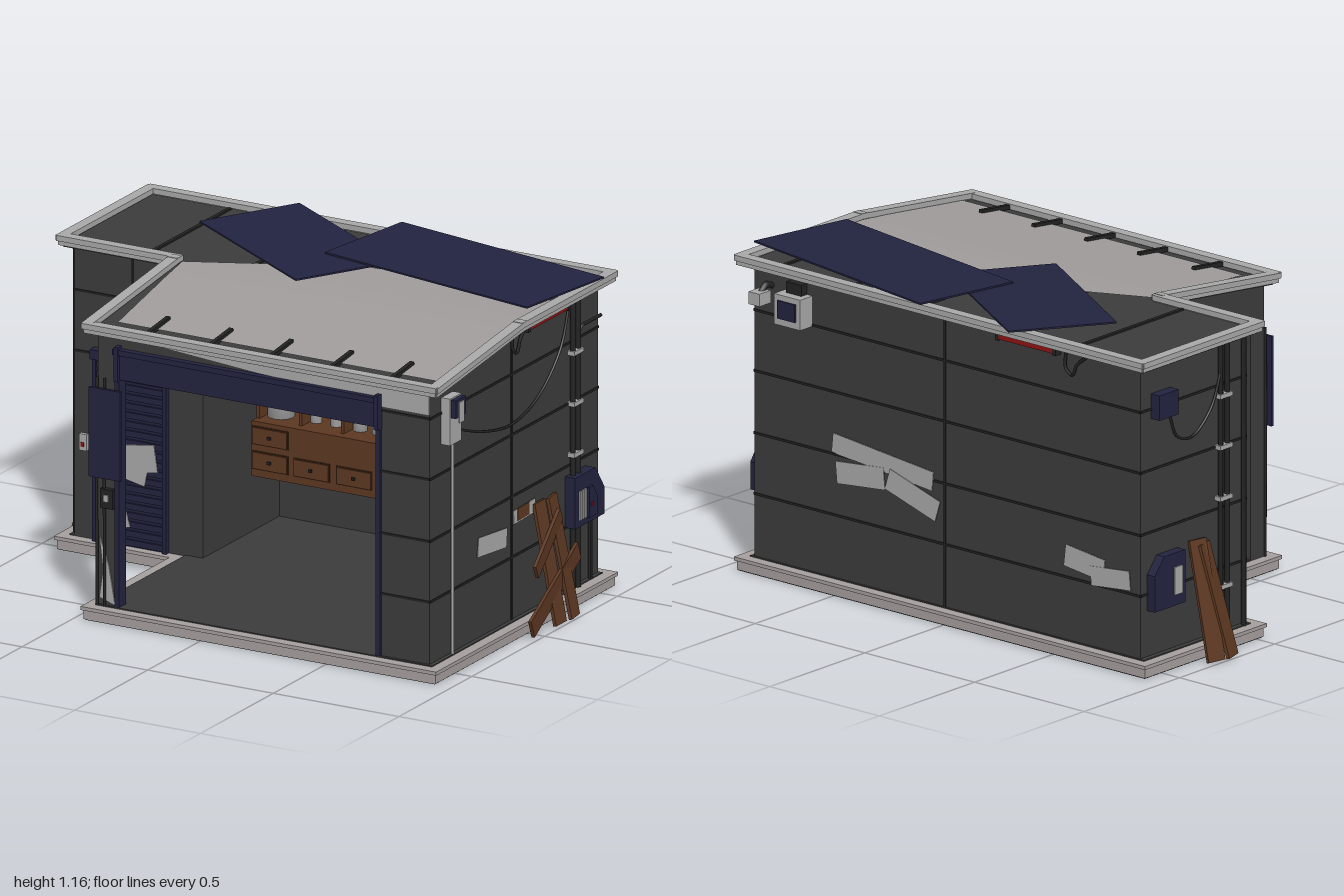
import * as THREE from 'three';

const mat = (name, color, side = THREE.FrontSide) => {
  const m = new THREE.MeshStandardMaterial({ color, side });
  m.name = name;
  return m;
};

export function createModel() {
  const root = new THREE.Group();
  root.name = 'shop';
  const wall = mat('charcoal wall', 0x3b3b3b), seam = mat('black seam', 0x222222);
  const navy = mat('navy', 0x22233f), light = mat('light grey', 0xa8a8a8);
  const stone = mat('warm grey', 0xa59e9d), sheetMat = mat('roof sheet grey', 0xa09b9b, THREE.DoubleSide);
  const wood = mat('brown wood', 0x5c3721), darkWood = mat('dark wood', 0x3c2415), red = mat('red', 0x8f1212);

  // ---- helpers ----
  const put = (name, geo, m, parent = root) => {
    const mesh = new THREE.Mesh(geo, m);
    mesh.name = name;
    parent.add(mesh);
    return mesh;
  };
  const box = (name, m, x0, x1, y0, y1, z0, z1, parent) => {
    const b = put(name, new THREE.BoxGeometry(x1 - x0, y1 - y0, z1 - z0), m, parent);
    b.position.set((x0 + x1) / 2, (y0 + y1) / 2, (z0 + z1) / 2);
    return b;
  };
  const beam = (name, m, a, b, w, h, extra = 0) => {
    const p = new THREE.Vector3(...a), q = new THREE.Vector3(...b);
    const mesh = put(name, new THREE.BoxGeometry(w, h, p.distanceTo(q) + extra), m);
    mesh.position.copy(p).lerp(q, 0.5);
    mesh.lookAt(q);
    return mesh;
  };
  const shapeOf = pts => new THREE.Shape(pts.map(p => new THREE.Vector2(...p)));
  const extrude = (name, m, pts, depth, parent) =>
    put(name, new THREE.ExtrudeGeometry(shapeOf(pts), { depth, bevelEnabled: false }), m, parent);
  // profile of [z, y] points swept from x0 to x1
  const sweepX = (name, m, pts, x0, x1) => {
    const mesh = extrude(name, m, pts.map(([z, y]) => [-z, y]), x1 - x0);
    mesh.rotation.y = Math.PI / 2;
    mesh.position.x = x0;
  };
  const tube = (name, m, pts, r, parent) => put(name, new THREE.TubeGeometry(
    new THREE.CatmullRomCurve3(pts.map(p => new THREE.Vector3(...p))), 24, r, 6), m, parent);
  // wall faces: local x runs along the wall, local z points outward
  const face = (name, x, z, turn) => {
    const g = new THREE.Group();
    g.name = name;
    g.position.set(x, 0, z);
    g.rotation.y = turn;
    root.add(g);
    return g;
  };
  const front = face('frontDetails', 0, 0.6, 0), wing = face('wingDetails', 0, 0, 0);
  const right = face('rightSideDetails', 0.89, 0, Math.PI / 2);
  const left = face('leftSideDetails', -0.87, 0, -Math.PI / 2);
  const back = face('backDetails', 0, -0.555, Math.PI);
  const paper = (parent, x, y, w, h, turn, m = light, z = 0.006) => {
    const p = put('paper', new THREE.BoxGeometry(w, h, 0.003), m, parent);
    p.position.set(x, y, z);
    p.rotation.z = turn;
  };
  const seams = (parent, x0, x1, verticals, rows = [0.28, 0.5, 0.725, 0.945], top = 1.1) => {
    for (const y of rows) box('seam', seam, x0, x1, y - 0.004, y + 0.004, 0, 0.004, parent);
    for (const x of verticals) box('seam', seam, x - 0.004, x + 0.004, 0.05, top, 0, 0.004, parent);
  };

  // ---- L-shaped base ----
  const slab = (name, m, inset, y0, y1) => {
    const i = inset, l = [[-0.93 + i, 0.6 - i], [-0.93 + i, -0.04 + i], [-0.47 + i, -0.04 + i],
      [-0.47 + i, -0.65 + i], [0.945 - i, -0.65 + i], [0.945 - i, 0.6 - i]];
    const s = extrude(name, m, l, y1 - y0);
    s.rotation.x = -Math.PI / 2;
    s.position.y = y0;
  };
  slab('baseUnderside', seam, 0.012, 0, 0.004);
  slab('base', stone, 0.008, 0.003, 0.037);
  slab('baseLip', stone, 0, 0.037, 0.05);
  slab('floor', wall, 0.04, 0.05, 0.054);

  // ---- walls ----
  sweepX('rightWall', wall, [[-0.555, 0.05], [0.6, 0.05], [0.6, 1.045], [0.04, 1.11], [-0.555, 1.11]], 0.86, 0.89);
  box('backWall', wall, -0.87, 0.89, 0.05, 1.11, -0.555, -0.525);
  box('leftWall', wall, -0.87, -0.84, 0.05, 1.11, -0.555, 0);
  box('wingFrontWall', wall, -0.87, -0.36, 0.05, 1.11, -0.03, 0);
  box('innerWall', wall, -0.4, -0.36, 0.05, 1.11, -0.53, -0.01);
  box('rightPier', wall, 0.69, 0.89, 0.05, 1.045, 0.56, 0.6);
  box('cornerPost', wall, -0.43, -0.36, 0.05, 1.045, 0.53, 0.6);
  box('frontHeader', wall, -0.43, 0.89, 0.89, 1.045, 0.57, 0.6);
  sweepX('sideHeader', wall, [[0, 0.89], [0.6, 0.89], [0.6, 1.045], [0.04, 1.11], [0, 1.11]], -0.43, -0.4);
  seams(right, -0.6, 0.555, [-0.04]);
  seams(back, -0.89, 0.87, [-0.02]);
  seams(left, -0.555, 0, []);
  seams(wing, -0.87, -0.43, [], [0.725, 0.945]);
  box('seam', seam, -0.644, -0.636, 0.945, 1.11, 0, 0.004, wing);
  seams(front, 0.69, 0.89, [], undefined, 1.04);
  box('seam', seam, 0.037, 0.043, 0.054, 0.27, -0.525, -0.521);

  // ---- shop front ----
  box('navyHeader', navy, -0.36, 0.69, 0.885, 0.975, 0, 0.014, front);
  box('navyHeaderRail', navy, -0.36, 0.69, 0.975, 0.995, 0, 0.024, front);
  for (const x of [-0.35, 0.685]) box('navyHeaderEnd', navy, x, x + 0.015, 0.88, 1.005, 0, 0.03, front);
  for (const x of [-0.36, 0.68]) box('navyJamb', navy, x, x + 0.018, 0.05, 0.885, -0.04, 0.008, front);
  extrude('tornBanner', light, [[-0.21, 1.04], [-0.2, 1.03], [0.57, 0.972], [0.69, 0.96], [0.89, 0.96], [0.89, 1.04]], 0.004, front);
  box('hangingBoard', navy, -0.45, -0.325, 0.52, 0.845, 0.016, 0.028, front);
  box('postPanel', seam, -0.41, -0.36, 0.41, 0.48, 0, 0.02, front);
  box('postButton', light, -0.395, -0.375, 0.435, 0.46, 0.02, 0.025, front);
  extrude('postPaper', light, [[-0.42, 0.3], [-0.385, 0.2], [-0.36, 0.06], [-0.42, 0.08], [-0.405, 0.18]], 0.004, front);
  box('alarmBox', seam, -0.49, -0.45, 0.76, 0.84, 0, 0.03, wing);
  box('alarmLamp', red, -0.48, -0.46, 0.785, 0.81, 0.03, 0.036, wing);
  for (const x of [-0.43, -0.4]) tube('postCable', seam, [[x, 0.05, 0.005], [x, 0.5, 0.008], [x, 0.88, 0.005]], 0.006, front);

  // ---- shutter door on the wing ----
  box('shutterBack', navy, -0.785, -0.5, 0.05, 0.72, 0, 0.006, wing);
  for (let i = 0; i < 20; i++) {
    const y = 0.055 + i * 0.033;
    box('shutterSlat', navy, -0.775, -0.51, y, y + 0.022, 0.006, 0.014, wing);
  }
  box('shutterCap', navy, -0.79, -0.495, 0.715, 0.75, 0, 0.035, wing);
  for (const x of [-0.79, -0.51]) box('shutterRail', navy, x, x + 0.015, 0.05, 0.72, 0, 0.02, wing);
  paper(wing, -0.67, 0.35, 0.2, 0.1, -0.2, light, 0.017);
  paper(wing, -0.6, 0.38, 0.13, 0.1, 0.15, light, 0.019);
  paper(wing, -0.705, 0.137, 0.12, 0.06, 0.28, light, 0.017);
  box('keypad', light, -0.845, -0.815, 0.37, 0.43, 0, 0.015, wing);
  box('keypadLamp', red, -0.836, -0.824, 0.385, 0.4, 0.015, 0.019, wing);

  // ---- roof ----
  const roofY = z => 1.13 - Math.max(0, z - 0.04) * 0.115;
  const roofLine = [-0.58, 0.04, 0.62];
  sweepX('mainRoof', wall, [...roofLine.map(z => [z, roofY(z) - 0.01]),
    ...roofLine.slice().reverse().map(z => [z, roofY(z) - 0.03])], -0.455, 0.925);
  box('wingRoof', wall, -0.905, -0.455, 1.1, 1.12, -0.58, 0.02);
  const edge = [[-0.905, -0.585], [0.925, -0.585], [0.925, 0.04], [0.925, 0.625], [-0.455, 0.625], [-0.455, 0.03], [-0.455, 0.02], [-0.905, 0.02]];
  edge.forEach(([x, z], i) => {
    const [u, v] = edge[(i + 1) % edge.length];
    beam('roofTrim', light, [x, roofY(z) + 0.004, z], [u, roofY(v) + 0.004, v], 0.04, 0.02, 0.03);
    beam('roofTrimLower', light, [x, roofY(z) - 0.013, z], [u, roofY(v) - 0.013, v], 0.028, 0.018, 0.02);
  });
  for (const x of [-0.23, 0.02, 0.26, 0.5, 0.74])
    beam('frontRoofRib', seam, [x, roofY(0.46), 0.46], [x, roofY(0.61), 0.61], 0.016, 0.016);
  for (const x of [-0.58, -0.2, 0.12, 0.45, 0.78]) box('roofRib', seam, x - 0.007, x + 0.007, 1.115, 1.126, -0.57, 0);

  // loose sheet following the roof slope, built from rows of [z, left x]
  const rows = [[-0.25, 0.12], [-0.1, -0.17], [0.02, -0.43], [0.15, -0.418], [0.35, -0.399], [0.55, -0.38]];
  const pos = rows.flatMap(([z, x]) => [x, roofY(z) - 0.003, z, 0.9, roofY(z) - 0.003, z]);
  const idx = rows.slice(1).flatMap((r, i) => [2 * i, 2 * i + 2, 2 * i + 1, 2 * i + 1, 2 * i + 2, 2 * i + 3]);
  const sheet = new THREE.BufferGeometry();
  sheet.setAttribute('position', new THREE.Float32BufferAttribute(pos, 3));
  sheet.setIndex(idx);
  sheet.computeVertexNormals();
  put('roofSheet', sheet, sheetMat);

  // loose navy boards
  for (const [x, y, z, w, d, turn] of [[-0.16, 1.148, -0.305, 0.7, 0.39, -0.553], [0.475, 1.156, -0.355, 0.91, 0.41, -0.176]]) {
    const b = put('roofBoard', new THREE.BoxGeometry(w, 0.006, d), navy);
    b.position.set(x, y, z);
    b.rotation.set(0.012, turn, 0);
  }

  // ---- shelves with bottles ----
  box('shelfBack', wood, -0.34, 0.69, 0.27, 0.885, -0.525, -0.5);
  box('drawerBlock', wood, -0.34, 0.69, 0.27, 0.47, -0.5, -0.3);
  for (const y of [0.665, 0.875]) box('shelfBoard', wood, -0.34, 0.69, y - 0.012, y, -0.5, -0.34);
  for (let i = 0; i < 7; i++) {
    const x = -0.34 + i * 0.1675;
    box('shelfDivider', wood, x, x + 0.012, 0.47, 0.875, -0.5, -0.335);
  }
  for (const [x, y] of [[-0.265, 0.42], [0.4, 0.42], [-0.265, 0.33], [-0.1, 0.33], [0.07, 0.33], [0.56, 0.33]]) {
    box('drawerGap', darkWood, x - 0.072, x + 0.072, y - 0.034, y + 0.034, -0.3, -0.297);
    box('drawerFront', wood, x - 0.068, x + 0.068, y - 0.03, y + 0.03, -0.3, -0.292);
    box('drawerKnob', seam, x - 0.006, x + 0.006, y - 0.005, y + 0.005, -0.292, -0.284);
  }
  const bottle = (x, y, r, h) => {
    const prof = [[0, 0], [r, 0], [r, h * 0.62], [r * 0.8, h * 0.75], [r * 0.35, h * 0.82], [r * 0.35, h * 0.94], [r * 0.45, h * 0.95], [r * 0.45, h], [0, h]];
    put('bottle', new THREE.LatheGeometry(prof.map(p => new THREE.Vector2(...p)), 12), light).position.set(x, y, -0.4);
  };
  for (const [x, r, h] of [[-0.27, 0.052, 0.2], [-0.14, 0.028, 0.11], [-0.07, 0.028, 0.11], [0.045, 0.048, 0.2], [0.11, 0.018, 0.16], [0.18, 0.02, 0.16],
    [0.26, 0.032, 0.075], [0.345, 0.018, 0.1], [0.395, 0.018, 0.13], [0.44, 0.02, 0.16], [0.515, 0.018, 0.14], [0.55, 0.018, 0.13], [0.6, 0.025, 0.11]]) bottle(x, 0.665, r, h);
  for (const [x, r, h] of [[-0.28, 0.048, 0.19], [-0.14, 0.02, 0.12], [-0.06, 0.02, 0.17], [0.035, 0.025, 0.1], [0.11, 0.025, 0.09], [0.215, 0.042, 0.18],
    [0.37, 0.02, 0.13], [0.43, 0.02, 0.13], [0.52, 0.022, 0.13], [0.57, 0.022, 0.06], [0.62, 0.025, 0.06]]) bottle(x, 0.47, r, h);
  const cup = put('hangingRing', new THREE.TorusGeometry(0.025, 0.01, 6, 12), wood);
  cup.position.set(0.63, 0.42, -0.28);

  // ---- right side fittings ----
  for (const u of [0.36, 0.395]) tube('conduit', seam, [[u, 0.05, 0.014], [u, 0.6, 0.014], [u, 1.11, 0.014]], 0.011, right);
  for (const y of [0.54, 0.725, 0.91]) box('conduitClamp', light, 0.345, 0.41, y - 0.008, y + 0.008, 0, 0.028, right);
  tube('topPipe', seam, [[0.4, 0.97, 0.015], [0.42, 0.99, 0.015], [0.47, 0.992, 0.015], [0.55, 0.992, 0.015]], 0.006, right);
  for (const u of [0.48, 0.49]) tube('lowerPipe', seam, [[u, 0.05, 0.01], [u, 0.15, 0.01], [u, 0.28, 0.01]], 0.006, right);
  extrude('fuseBox', navy, [[0.33, 0.28], [0.53, 0.28], [0.53, 0.38], [0.47, 0.465], [0.33, 0.465]], 0.04, right);
  extrude('fuseBoxCover', navy, [[0.41, 0.3], [0.47, 0.3], [0.47, 0.36], [0.44, 0.41], [0.41, 0.41]], 0.05, right);
  for (let i = 0; i < 3; i++) box('fuseBoxVent', light, 0.355 + i * 0.017, 0.367 + i * 0.017, 0.305, 0.41, 0.04, 0.046, right);
  box('fuseLamp', red, 0.422, 0.432, 0.34, 0.355, 0.05, 0.054, right);
  box('wallLamp', light, -0.52, -0.44, 0.83, 1.0, 0, 0.035, right);
  box('wallLampHood', navy, -0.515, -0.445, 0.93, 0.995, 0.035, 0.055, right);
  box('wallLampGlass', light, -0.497, -0.463, 0.91, 0.985, 0.055, 0.06, right);
  tube('lampPole', light, [[-0.46, 0.05, 0.01], [-0.46, 0.4, 0.01], [-0.46, 0.84, 0.01]], 0.005, right);
  tube('hangingCable', seam, [[-0.44, 0.865, 0.012], [-0.25, 0.8, 0.012], [-0.05, 0.77, 0.012], [0.13, 0.82, 0.012], [0.28, 0.95, 0.012], [0.34, 1.1, 0.012]], 0.005, right);
  paper(right, -0.18, 0.375, 0.2, 0.07, -0.1);
  paper(right, 0.04, 0.425, 0.15, 0.05, 0.03);
  paper(right, 0.03, 0.428, 0.08, 0.045, 0.03, wood, 0.008);

  // red tube lamps with their cable loops
  for (const [p, u0, u1, loop] of [[right, 0.035, 0.31, -0.02], [back, 0.24, 0.5, 0.57]]) {
    box('tubeLamp', red, u0, u1, 1.085, 1.105, 0.005, 0.028, p);
    for (const u of [u0, u1]) box('tubeLampEnd', seam, u - 0.008, u + 0.008, 1.08, 1.11, 0, 0.03, p);
    tube('cableLoop', seam, [[loop - 0.03, 1.11, 0.01], [loop - 0.03, 1.04, 0.012], [loop, 1.02, 0.012], [loop + 0.02, 1.06, 0.012], [loop + 0.06, 1.095, 0.01]], 0.006, p);
  }

  // ---- leaning planks ----
  beam('plank', wood, [0.985, 0.005, -0.132], [0.9, 0.435, -0.132], 0.073, 0.012);
  beam('plank', wood, [0.99, 0.005, -0.222], [0.905, 0.435, -0.21], 0.073, 0.012);
  beam('crossPlank', wood, [0.985, 0.04, 0.065], [0.945, 0.21, -0.325], 0.012, 0.07);
  beam('crossPlank', wood, [0.965, 0.225, 0.0], [0.925, 0.365, -0.235], 0.012, 0.055);
  beam('plank', wood, [-0.985, 0.005, -0.29], [-0.88, 0.42, -0.27], 0.073, 0.012);
  beam('plank', wood, [-0.99, 0.005, -0.21], [-0.885, 0.4, -0.24], 0.073, 0.012);

  // ---- left side fittings ----
  for (const u of [-0.15, -0.115, -0.03]) tube('conduit', seam, [[u, 0.05, 0.014], [u, 0.6, 0.014], [u, 1.11, 0.014]], 0.01, left);
  for (const y of [0.22, 0.54, 0.725, 0.91]) box('conduitClamp', light, -0.165, -0.1, y - 0.008, y + 0.008, 0, 0.026, left);
  box('upperBox', navy, -0.5, -0.4, 0.91, 1.0, 0, 0.04, left);
  tube('boxCable', seam, [[-0.42, 0.91, 0.015], [-0.38, 0.82, 0.015], [-0.3, 0.8, 0.015], [-0.2, 0.88, 0.015], [-0.15, 1.0, 0.015]], 0.005, left);
  extrude('lowerBox', navy, [[-0.52, 0.22], [-0.36, 0.22], [-0.36, 0.41], [-0.47, 0.41], [-0.52, 0.35]], 0.035, left);
  box('lowerBoxVent', light, -0.42, -0.38, 0.26, 0.36, 0.035, 0.041, left);

  // ---- back fittings ----
  box('meter', light, -0.745, -0.625, 0.94, 1.05, 0, 0.065, back);
  box('meterScreen', navy, -0.725, -0.645, 0.965, 1.03, 0.065, 0.071, back);
  box('meterBracket', seam, -0.72, -0.65, 1.05, 1.09, 0, 0.03, back);
  tube('cameraArm', seam, [[-0.81, 1.05, 0], [-0.81, 1.06, 0.03], [-0.81, 1.035, 0.06]], 0.012, back);
  box('camera', light, -0.835, -0.785, 1.0, 1.045, 0.035, 0.095, back);
  paper(back, -0.3, 0.52, 0.46, 0.07, -0.1);
  paper(back, -0.4, 0.45, 0.22, 0.08, 0.1, light, 0.008);
  paper(back, -0.16, 0.43, 0.24, 0.08, -0.3, light, 0.01);
  paper(back, 0.62, 0.35, 0.18, 0.08, -0.12);
  paper(back, 0.74, 0.32, 0.18, 0.07, 0.1, light, 0.008);

  return root;
}
